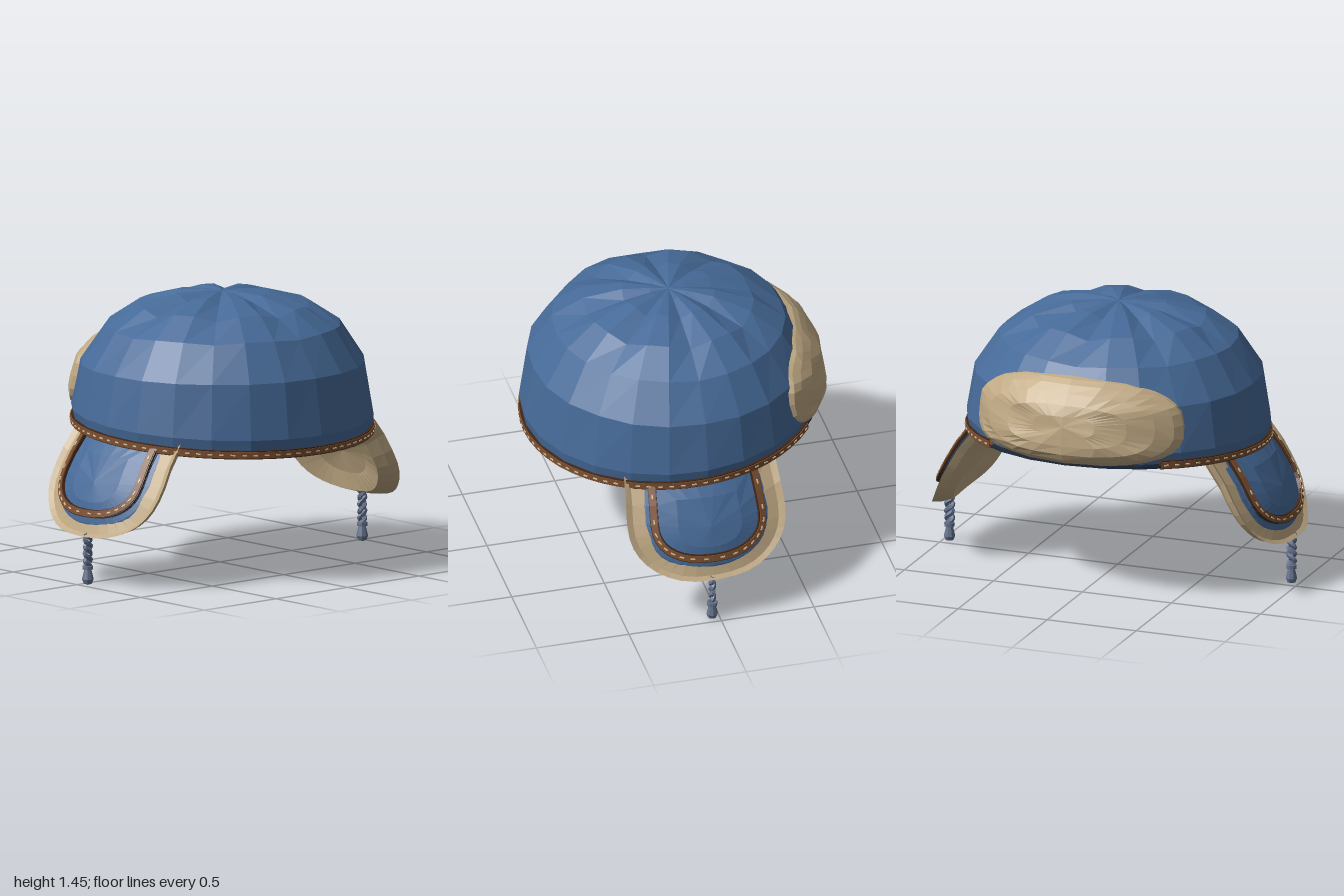
import * as THREE from 'three';
import { mergeGeometries } from 'three/addons/utils/BufferGeometryUtils.js';

const V = (x, y, z) => new THREE.Vector3(x, y, z);
const mat = (color) => new THREE.MeshStandardMaterial({ color, flatShading: true, side: THREE.DoubleSide });
const cloth = mat(0x466a98), fur = mat(0xbfa883), leather = mat(0x7c4f30), navy = mat(0x1c293a);
const darkLeather = mat(0x40281a), thread = mat(0xd9c6a0), cord = mat(0x66748f);

function mesh(name, geometry, material) {
  const m = new THREE.Mesh(geometry, material);
  m.name = name;
  return m;
}

// Skin a list of closed rings of equal length
function loft(rings) {
  const n = rings[0].length, pos = [], idx = [];
  rings.forEach((r) => r.forEach((p) => pos.push(p.x, p.y, p.z)));
  for (let j = 0; j < rings.length - 1; j++) {
    for (let i = 0; i < n; i++) {
      const a = j * n + i, b = j * n + (i + 1) % n;
      idx.push(a, a + n, b, b, a + n, b + n);
    }
  }
  const g = new THREE.BufferGeometry();
  g.setAttribute('position', new THREE.Float32BufferAttribute(pos, 3));
  g.setIndex(idx);
  g.computeVertexNormals();
  return g;
}

const wobble = (a, b) => Math.sin(a * 12.9 + b * 7.3) * Math.cos(a * 5.1 - b * 9.7);

// ---- Crown ----
const PROFILE = [[0, 1.448], [0.1, 1.45], [0.25, 1.441], [0.46, 1.385], [0.63, 1.275], [0.76, 1.08], [0.803, 0.82], [0.79, 0.755]];
const rimTilt = (z, y) => -0.06 * z * THREE.MathUtils.clamp(1 - (y - 0.755) / 0.35, 0, 1);

function crownPoint(r, y, a) {
  const z = Math.cos(a) * r * 0.97 + 0.02;
  return V(Math.sin(a) * r, y + rimTilt(z, y), z);
}

function crownRadius(y) {
  for (let i = 3; i < PROFILE.length; i++) {
    const [r0, y0] = PROFILE[i - 1], [r1, y1] = PROFILE[i];
    if (y >= y1) return r0 + (r1 - r0) * (y0 - y) / (y0 - y1);
  }
  return 0.79;
}

const RIBS = 24;
// Every third rib is a sewn valley between puffed panels
const crownRing = ([r, y]) => Array.from({ length: RIBS }, (_, i) => {
  const seam = i % 3 === 0 && y > 0.9 ? 1 : 0;
  const dip = r > 0.2 && r < 0.5 ? 0.028 : r > 0.05 && r < 0.7 ? 0.01 : 0;
  return crownPoint(r * (1 - 0.008 * seam), y - dip * seam, i / RIBS * Math.PI * 2);
});

function crown() {
  const lining = PROFILE.map(([r, y]) => [r * 0.93, y > 0.8 ? y - 0.04 : y]).reverse();
  return mesh('crown', loft([...PROFILE, ...lining].map(crownRing)), cloth);
}

// Dark band closing the underside of the rim
function sweatband() {
  const section = [[0.796, 0.745], [0.796, 0.731], [0.73, 0.728], [0.715, 0.81], [0.74, 0.82]];
  return mesh('sweatband', loft(section.map(crownRing)), navy);
}

// ---- Stitched leather trim: path points with outward normals ----
function trim(name, path, stitches) {
  const n = path.length;
  const frames = path.map(({ p, n: out }, i) => {
    const a = path[Math.max(i - 1, 0)].p, b = path[Math.min(i + 1, n - 1)].p;
    const t = b.clone().sub(a).normalize();
    const side = out.clone().cross(t).normalize();
    return { p, t, side, out: t.clone().cross(side) };
  });
  const strip = (w, lo, hi) => loft(frames.map(({ p, side, out }) =>
    [[-w, lo], [w, lo], [w, hi], [-w, hi]].map(
      ([s, o]) => p.clone().addScaledVector(side, s).addScaledVector(out, o))));
  const dashes = [];
  for (let k = 0; k < stitches; k++) {
    const f = (k + 0.5) / stitches * (n - 1);
    const i = Math.floor(f), A = frames[i], B = frames[i + 1];
    const p = A.p.clone().lerp(B.p, f - i).addScaledVector(A.out, 0.0105);
    const m = new THREE.Matrix4().makeBasis(A.t, A.side, A.t.clone().cross(A.side)).setPosition(p);
    dashes.push(new THREE.BoxGeometry(0.024, 0.007, 0.005).applyMatrix4(m));
  }
  const g = new THREE.Group();
  g.name = name;
  g.add(mesh('trimBorder', strip(0.022, -0.015, 0.004), darkLeather),
    mesh('trimBand', strip(0.017, -0.012, 0.009), leather),
    mesh('stitches', mergeGeometries(dashes), thread));
  return g;
}

// Runs round the front and sides, its ends tucked under the back fur
function rimTrim() {
  const path = Array.from({ length: 43 }, (_, i) => {
    const a = (i / 42 * 2 - 1) * 2.5;
    return { p: crownPoint(0.798, 0.752, a), n: V(Math.sin(a), 0, Math.cos(a)) };
  });
  return trim('rimTrim', path, 66);
}

// ---- Ear flaps: flaring curved surface, u runs across the flap ----
const flapNormal = (u, y) => V(1, 1.7 * (y - 0.25), 1.28 * u).normalize();
const flapPoint = (u, y, off) =>
  V(0.988 - 0.85 * (y - 0.25) ** 2 - 0.64 * u * u, y, u + 0.032).addScaledVector(flapNormal(u, y), off);

// U outline: straight sides and a rounded bottom
function uCurve(w, bottom, top, n = 18) {
  const pts = [[-w * 0.95, top], [-w * 0.98, 0.65]];
  for (let i = 0; i <= n; i++) {
    const a = i / n * Math.PI, c = Math.cos(a);
    pts.push([-w * Math.sign(c) * Math.abs(c) ** 0.8, 0.56 - (0.56 - bottom) * Math.sin(a) ** 0.8]);
  }
  pts.push([w * 0.98, 0.65], [w * 0.95, top]);
  return pts;
}

function pad(name, w, bottom, front, back, material, flare = 0, rough = 0) {
  const outline = uCurve(w, bottom, 0.785);
  for (const k of [0.6, 0.2, -0.2, -0.6]) outline.push([w * k, 0.785]);
  const mid = (front + back) / 2;
  const layers = [[0, front], [0.55, front], [0.94, front - 0.004 + flare * 0.4], [1, mid + 0.008 + flare],
    [0.985, mid - 0.012 + flare * 0.6], [0.9, back], [0.5, back], [0, back]];
  return mesh(name, loft(layers.map(([s, off]) => outline.map(([u, y]) => {
    const uu = u * s, yy = 0.54 + (y - 0.54) * s;
    return flapPoint(uu, yy, off + rough * wobble(uu, yy * 1.4));
  }))), material);
}

function tieCord() {
  const g = new THREE.Group();
  g.name = 'tieCord';
  for (const phase of [0, Math.PI]) {
    const pts = Array.from({ length: 29 }, (_, i) => {
      const a = i / 28 * Math.PI * 5 + phase;
      return V(Math.cos(a) * 0.018, 0.275 - i / 28 * 0.185, Math.sin(a) * 0.006);
    });
    g.add(mesh('cordStrand', new THREE.TubeGeometry(new THREE.CatmullRomCurve3(pts), 36, 0.0135, 5), cord));
  }
  const knot = mesh('cordKnot', new THREE.CylinderGeometry(0.028, 0.028, 0.02, 8), cord);
  knot.position.y = 0.092;
  const tassel = [[0, 0], [0.022, 0.007], [0.031, 0.03], [0.018, 0.085], [0, 0.09]].map(([r, y]) => new THREE.Vector2(r, y));
  g.add(knot, mesh('tassel', new THREE.LatheGeometry(tassel, 8), cord));
  g.position.set(0.96, 0.003, 0.04);
  return g;
}

function earFlap(name) {
  const g = new THREE.Group();
  g.name = name;
  const path = uCurve(0.29, 0.385, 0.745).map(([u, y]) => ({ p: flapPoint(u, y, 0.001), n: flapNormal(u, y) }));
  g.add(pad('flapFur', 0.422, 0.262, -0.035, -0.095, fur, 0.068, 0.004),
    pad('flapShell', 0.352, 0.318, -0.02, -0.05, cloth),
    pad('flapPanel', 0.312, 0.362, -0.004, -0.03, cloth),
    trim('flapTrim', path, 18), tieCord());
  return g;
}

// ---- Puffy fur panel wrapped around the back of the crown ----
function backFur() {
  const n = 32;
  const rings = [0, 0.25, 0.5, 0.72, 0.88, 0.97, 1].map((s) => Array.from({ length: n }, (_, i) => {
    const t = i / n * Math.PI * 2, c = Math.cos(t), k = Math.sin(t);
    const da = s * 0.83 * Math.sign(c) * Math.abs(c) ** 0.68;
    const h = s * Math.sign(k) * Math.abs(k) ** 0.68;
    const y = 0.98 + h * (h > 0 ? 0.245 : 0.242) - 0.03 * (da / 0.83) ** 2 * Math.max(h, 0);
    const off = 0.062 * Math.sqrt(1 - s ** 4) - 0.008 + (s < 1 ? 0.007 * wobble(da * 1.3, y * 1.6) : 0);
    return crownPoint(crownRadius(y) + off, y, Math.PI + da);
  }));
  return mesh('backFur', loft(rings), fur);
}

export function createModel() {
  const model = new THREE.Group();
  model.name = 'winterHat';
  const right = earFlap('rightEarFlap');
  right.scale.x = -1;
  model.add(crown(), sweatband(), rimTrim(), backFur(), earFlap('leftEarFlap'), right);
  return model;
}
